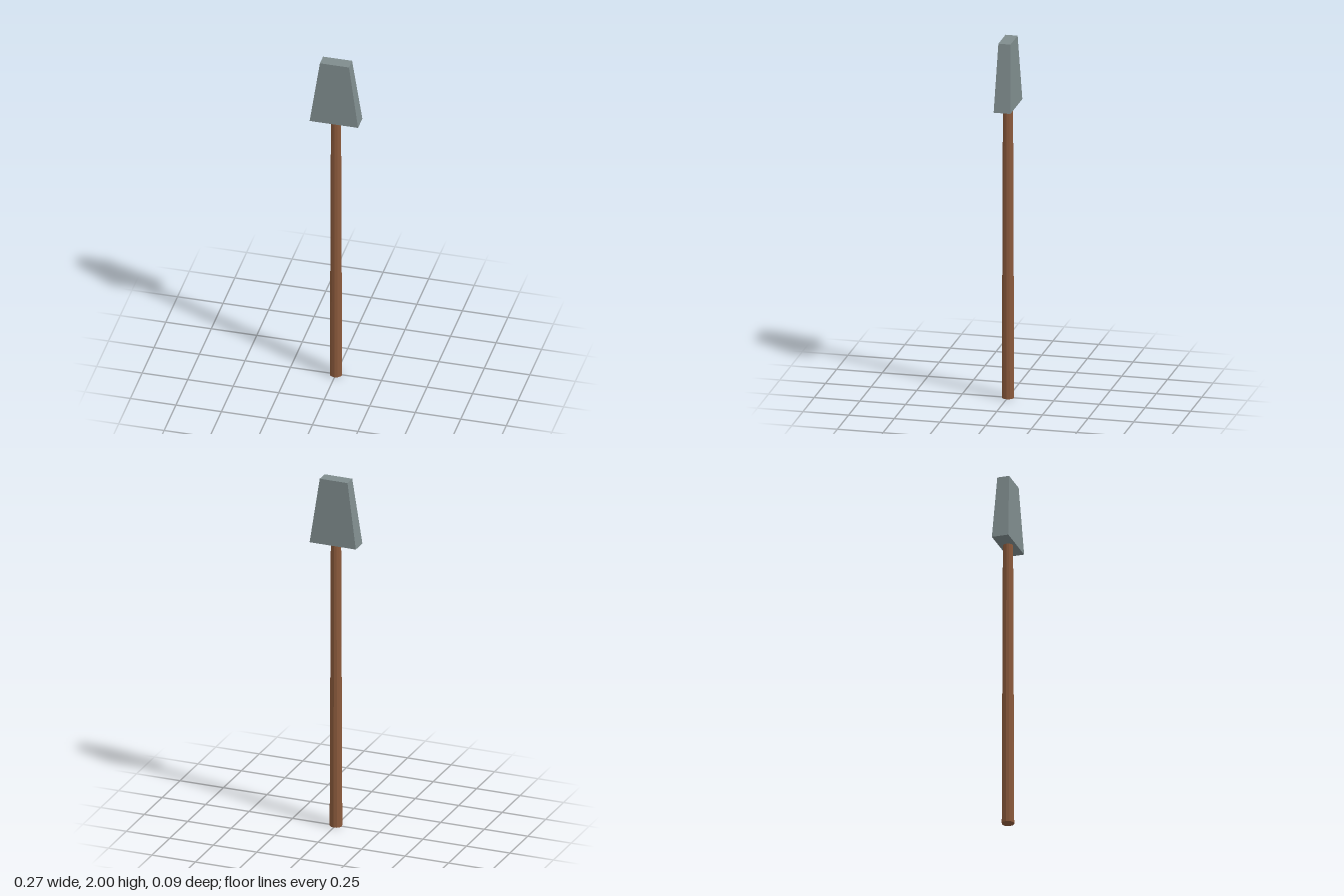
import * as THREE from 'three';

const HEAD_BASE = 1.63;
const HEAD_TOP = 2;

// Box whose top is scaled in x and z relative to its base
function taperedBox(width, height, depth, topX, topZ) {
  const geometry = new THREE.BoxGeometry(width, height, depth);
  const p = geometry.attributes.position;
  for (let i = 0; i < p.count; i++) {
    if (p.getY(i) > 0) {
      p.setX(i, p.getX(i) * topX);
      p.setZ(i, p.getZ(i) * topZ);
    }
  }
  geometry.computeVertexNormals();
  return geometry;
}

export function createModel() {
  const group = new THREE.Group();
  group.name = 'tool';

  const wood = new THREE.MeshStandardMaterial({ color: 0x8b5a3c, flatShading: true });
  const metal = new THREE.MeshStandardMaterial({ color: 0x7f8c8d, flatShading: true });

  // Slightly tapered faceted shaft
  const handle = new THREE.Mesh(
    new THREE.CylinderGeometry(0.028, 0.034, HEAD_BASE, 12), wood);
  handle.name = 'handle';
  handle.position.y = HEAD_BASE / 2;
  group.add(handle);

  // Wedge-shaped head, narrowing upwards
  const headHeight = HEAD_TOP - HEAD_BASE;
  const head = new THREE.Mesh(
    taperedBox(0.266, headHeight, 0.092, 0.6, 0.72), metal);
  head.name = 'head';
  head.position.y = HEAD_BASE + headHeight / 2;
  group.add(head);

  return group;
}
